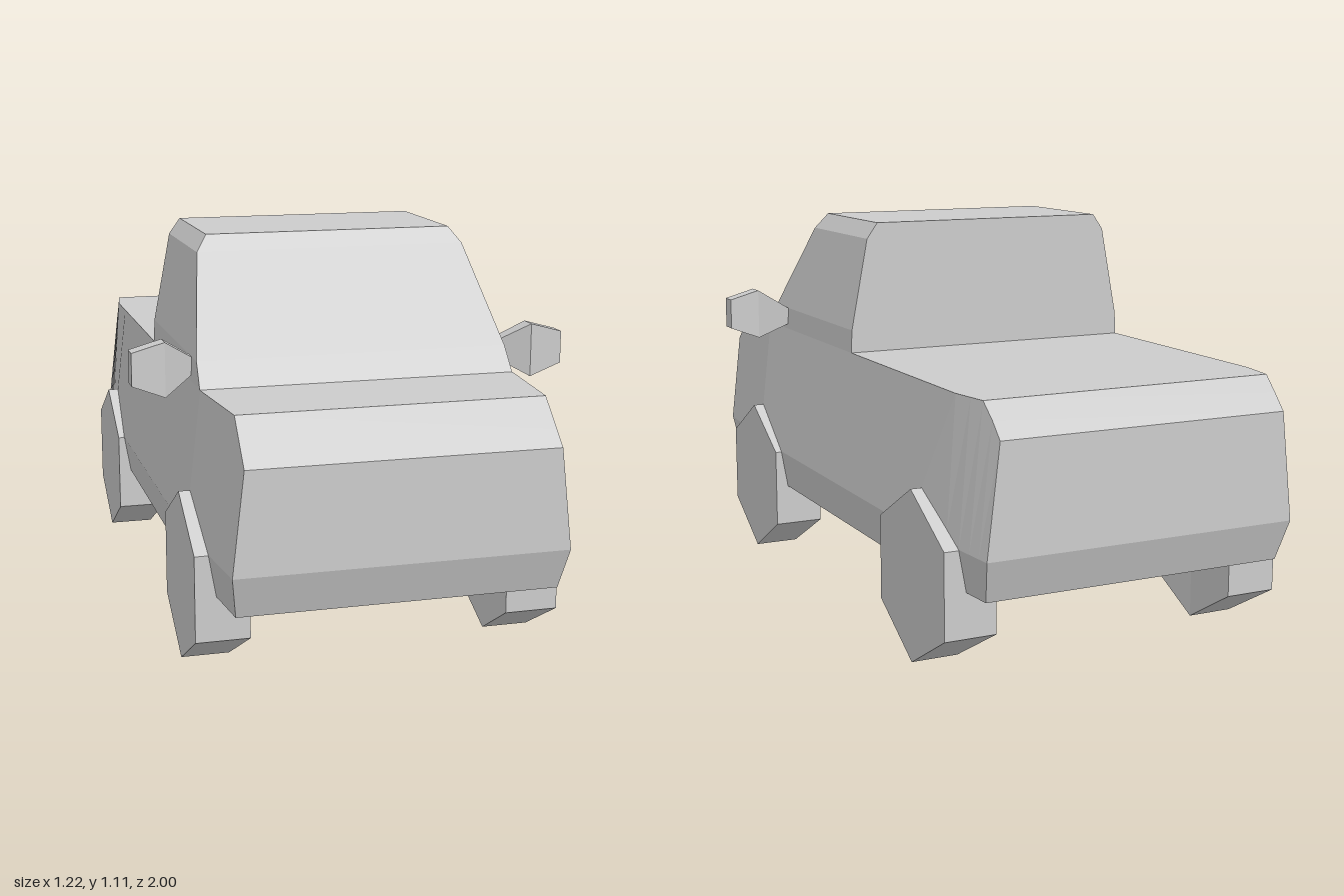
import * as THREE from 'three';

const material = new THREE.MeshStandardMaterial({ color: 0xcccccc, flatShading: true });

// Closed solid through matching rings of points, with flat facets and capped ends
function loft(rings) {
  const tris = [];
  const n = rings[0].length;
  for (let i = 0; i < rings.length - 1; i++) {
    for (let j = 0; j < n; j++) {
      const k = (j + 1) % n;
      const a = rings[i][j], b = rings[i][k], c = rings[i + 1][k], d = rings[i + 1][j];
      tris.push([a, b, c], [a, c, d]);
    }
  }
  const first = rings[0], last = rings[rings.length - 1];
  for (let j = 1; j < n - 1; j++) {
    tris.push([first[0], first[j + 1], first[j]], [last[0], last[j], last[j + 1]]);
  }
  // The signed volume tells whether the faces point outwards; empty triangles are dropped
  let volume = 0;
  const solid = tris.map((t) => t.map((p) => new THREE.Vector3(...p))).filter(([a, b, c]) => {
    const cross = b.clone().sub(a).cross(c.clone().sub(a));
    volume += a.dot(b.clone().cross(c));
    return cross.length() > 1e-7;
  });
  const points = solid.flatMap(([a, b, c]) => (volume < 0 ? [a, c, b] : [a, b, c]));
  const geometry = new THREE.BufferGeometry().setFromPoints(points);
  geometry.computeVertexNormals();
  return geometry;
}

function addPart(group, name, geometry) {
  const mesh = new THREE.Mesh(geometry, material);
  mesh.name = name;
  group.add(mesh);
  return mesh;
}

// Half width of the lower body, narrowing towards the top, nose and tail
function halfWidth(y, z) {
  const base = y < 0.355
    ? THREE.MathUtils.mapLinear(y, 0.24, 0.355, 0.465, 0.485)
    : THREE.MathUtils.mapLinear(y, 0.355, 0.74, 0.485, 0.44);
  const nose = Math.max(0, (z - 0.595) / 0.405) * 0.037;
  const tailStart = 0.66 + (0.14 * (y - 0.47)) / 0.27;
  const tail = Math.max(0, (-z - tailStart) / (1 - tailStart)) * 0.033;
  return base - nose - tail;
}

// Stations of a hexagonal wheel arch cut through the underside
const arch = (z) => [
  [z + 0.204, 0.24, 0.74], [z + 0.204, 0.355, 0.74], [z, 0.47, 0.74],
  [z - 0.204, 0.355, 0.74], [z - 0.204, 0.24, 0.74],
];

function bodyGeometry() {
  // z, underside height, top height
  const rear = arch(-0.66);
  const stations = [
    [1, 0.355, 0.63], [0.96, 0.24, 0.668], [0.885, 0.24, 0.74],
    ...arch(0.595),
    ...rear.slice(0, 3), [-0.8, 0.391, 0.74], ...rear.slice(3),
    [-0.915, 0.24, 0.74], [-0.96, 0.24, 0.698], [-1, 0.355, 0.655],
  ];
  return loft(stations.map(([z, low, high]) => {
    const side = [low, Math.max(low, 0.355), high].map((y) => [halfWidth(y, z), y, z]);
    return [...side, ...side.map(([x, y]) => [-x, y, z]).reverse()];
  }));
}

function cabinGeometry() {
  // height, half width, windscreen z
  const levels = [[0.74, 0.44, 0.59], [0.805, 0.437, 0.536], [1.065, 0.387, 0.313], [1.11, 0.355, 0.283]];
  return loft(levels.map(([y, w, z]) => [[w, y, z], [w, y, -0.105], [-w, y, -0.105], [-w, y, z]]));
}

// Six-sided wheel with slightly bevelled inner points
function wheelGeometry(side) {
  const ring = (x, tipX) => Array.from({ length: 6 }, (_, i) => {
    const a = (i * Math.PI) / 3;
    return [side * (i % 3 === 0 ? tipX : x), 0.235 * Math.cos(a), 0.235 * Math.sin(a)];
  });
  return loft([ring(0.356, 0.37), ring(0.503, 0.503)]);
}

// Door mirror flaring out from its stalk
function mirrorGeometry(side) {
  // x, low y, high y, back z, front z
  const sections = [
    [0.43, 0.76, 0.80, 0.425, 0.465],
    [0.52, 0.71, 0.86, 0.476, 0.528],
    [0.61, 0.745, 0.835, 0.476, 0.528],
  ];
  return loft(sections.map(([x, y0, y1, z0, z1]) =>
    [[y0, z0], [y1, z0], [y1, z1], [y0, z1]].map(([y, z]) => [side * x, y, z])));
}

export function createModel() {
  const truck = new THREE.Group();
  truck.name = 'pickupTruck';
  addPart(truck, 'body', bodyGeometry());
  addPart(truck, 'cabin', cabinGeometry());
  for (const [side, label] of [[1, 'Left'], [-1, 'Right']]) {
    addPart(truck, 'mirror' + label, mirrorGeometry(side));
    for (const [z, end] of [[0.595, 'front'], [-0.66, 'rear']]) {
      addPart(truck, end + 'Wheel' + label, wheelGeometry(side)).position.set(0, 0.235, z);
    }
  }
  return truck;
}
